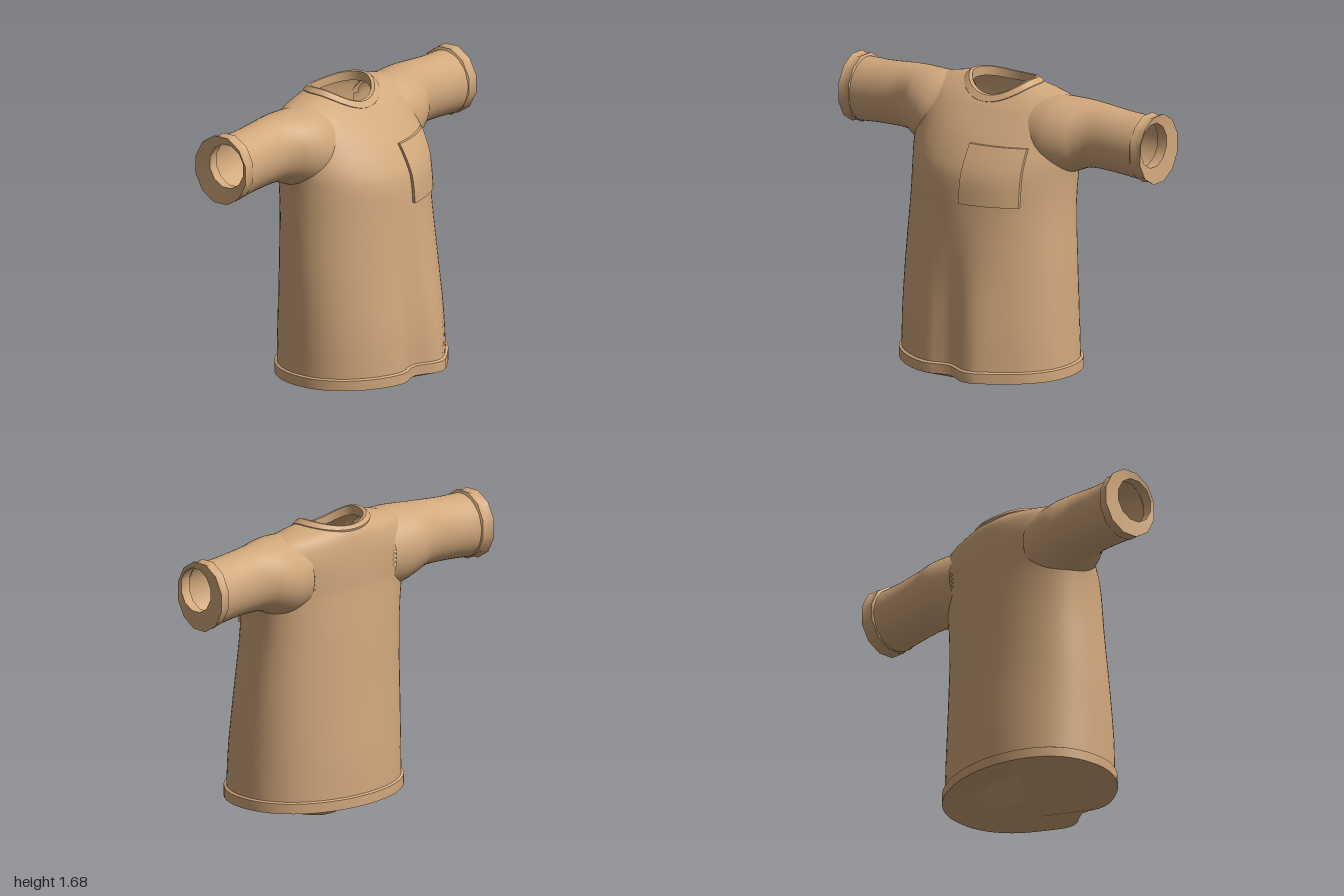
import * as THREE from 'three';
import { toCreasedNormals } from 'three/addons/utils/BufferGeometryUtils.js';

const SIDES = 64;

// Closed rings joined into a skin; columns are curved between rings when steps > 1.
function loft(rings, steps = 1, crease = 0.9, drop = () => false) {
  const n = rings[0].length;
  const rows = (rings.length - 1) * steps;
  const columns = [];
  for (let j = 0; j < n; j++) {
    const points = rings.map((ring) => ring[j]);
    const curve = new THREE.CatmullRomCurve3(points, false, 'catmullrom', 0.5);
    columns.push(steps === 1 ? points : curve.getPoints(rows));
  }
  const positions = [];
  for (let i = 0; i <= rows; i++) {
    for (let j = 0; j < n; j++) positions.push(...columns[j][i].toArray());
  }
  const index = [];
  const add = (...corners) => {
    const centre = new THREE.Vector3();
    corners.forEach(([i, j]) => centre.addScaledVector(columns[j][i], 1 / 3));
    if (!drop(centre)) index.push(...corners.map(([i, j]) => i * n + j));
  };
  for (let i = 0; i < rows; i++) {
    for (let j = 0; j < n; j++) {
      const k = (j + 1) % n;
      add([i, j], [i + 1, j], [i + 1, k]);
      add([i, j], [i + 1, k], [i, k]);
    }
  }
  const geometry = new THREE.BufferGeometry();
  geometry.setAttribute('position', new THREE.Float32BufferAttribute(positions, 3));
  geometry.setIndex(index);
  return toCreasedNormals(geometry, crease);
}

// Body ring: half width, front z, back z, widest z, then heights at side, front and back.
function bodyRing([hx, zf, zb, zc, ys, yf = ys, yb = ys], grow = 0) {
  return Array.from({ length: SIDES }, (_, j) => {
    const a = (j / SIDES) * Math.PI * 2;
    const c = Math.cos(a);
    const s = Math.sin(a);
    const low = THREE.MathUtils.clamp((0.9 - ys) / 0.75, 0, 1);
    const x = (hx + grow) * c + 0.01 * low;
    let z;
    if (s >= 0) {
      // Soft folds hanging down the front
      const dent = 0.06 * Math.exp(-((x / 0.09) ** 2));
      const lobe = 0.03 * Math.exp(-(((x - 0.18) / 0.1) ** 2));
      z = zc + (zf + grow - zc) * s + low * s * (lobe - dent);
    } else {
      z = zc + (zb - grow - zc) * Math.abs(s) ** 0.88;
    }
    return new THREE.Vector3(x, ys + ((s > 0 ? yf : yb) - ys) * s * s, z);
  });
}

// Sleeve section: x, top y, bottom y, front z, back z.
const SLEEVE = [
  [0.3, 1.625, 1.2, 0.09, -0.32],
  [0.4, 1.632, 1.2, 0.095, -0.333],
  [0.5, 1.63, 1.235, 0.065, -0.335],
  [0.57, 1.627, 1.262, 0.025, -0.318],
  [0.65, 1.622, 1.27, 0.0, -0.302],
  [0.8, 1.608, 1.265, -0.004, -0.305],
  [0.94, 1.603, 1.252, -0.004, -0.315],
];

function sleeveRing([x, top, bottom, front, back], side, sides) {
  return Array.from({ length: sides }, (_, j) => {
    const a = ((j + 0.5) / sides) * Math.PI * 2;
    return new THREE.Vector3(
      side * x,
      (top + bottom) / 2 + ((top - bottom) / 2) * Math.sin(a) * side,
      (front + back) / 2 + ((front - back) / 2) * Math.cos(a),
    );
  });
}

// True well inside a sleeve, where the body is left open for the arm.
function insideSleeve(p) {
  const x = Math.abs(p.x);
  const k = SLEEVE.findIndex((s) => s[0] > x);
  if (k < 1) return false;
  const t = (x - SLEEVE[k - 1][0]) / (SLEEVE[k][0] - SLEEVE[k - 1][0]);
  const [, top, bottom, front, back] = SLEEVE[k].map((v, i) => THREE.MathUtils.lerp(SLEEVE[k - 1][i], v, t));
  const dy = (2 * p.y - top - bottom) / (top - bottom);
  const dz = (2 * p.z - front - back) / (front - back);
  return Math.hypot(dy, dz) < 0.93;
}

export function createModel() {
  const group = new THREE.Group();
  group.name = 'shirt';
  const cloth = new THREE.MeshStandardMaterial({ color: 0xd2a87c, side: THREE.DoubleSide });
  cloth.name = 'tan cloth';
  const add = (name, geometry) => {
    const mesh = new THREE.Mesh(geometry, cloth);
    mesh.name = name;
    group.add(mesh);
    return mesh;
  };

  // Body from hem to neckline
  const hemRow = [0.508, 0.4, -0.402, 0, 0.14];
  const body = add('body', loft([
    hemRow,
    [0.503, 0.385, -0.395, 0, 0.4],
    [0.495, 0.35, -0.375, -0.02, 0.7],
    [0.482, 0.32, -0.36, -0.05, 1.0],
    [0.487, 0.302, -0.347, -0.08, 1.2],
    [0.5, 0.265, -0.34, -0.1, 1.3],
    [0.51, 0.205, -0.34, -0.13, 1.4],
    [0.5, 0.15, -0.337, -0.15, 1.51, 1.47, 1.48],
    [0.43, 0.105, -0.33, -0.15, 1.605, 1.52, 1.55],
    [0.33, 0.068, -0.32, -0.14, 1.638, 1.56, 1.6],
    [0.21, 0.04, -0.303, -0.13, 1.66, 1.582, 1.635],
  ].map((row) => bodyRing(row)), 4, 1.0, insideSleeve));

  // Hem band
  const hemAt = (y, grow) => bodyRing([...hemRow.slice(0, 4), y], grow);
  const hemEdge = hemAt(0.13, 0.012);
  add('hem', loft([hemEdge, hemAt(0.185, 0.012), hemAt(0.193, -0.004)], 1, 0.5));

  // Sagging underside, drawn to a low point with a fold at the back
  const underRings = [0, 0.35, 0.65, 1].map((t) => hemEdge.map((p) => {
    const behind = Math.max(0, -p.z / 0.41) ** 2;
    const fold = t === 0.35 ? -0.02 : t === 0.65 ? 0.032 : 0;
    return new THREE.Vector3(0.02 + (p.x - 0.02) * t, 0.13 * t + fold * behind, p.z * t);
  }));
  add('underside', loft(underRings, 1, 0.4));

  // Collar band, rolled over the neckline
  add('collar', loft([
    [0.222, 0.05, -0.31, -0.13, 1.648, 1.56, 1.622],
    [0.222, 0.056, -0.313, -0.13, 1.662, 1.572, 1.634],
    [0.195, 0.03, -0.298, -0.13, 1.684, 1.602, 1.652],
    [0.178, 0.01, -0.285, -0.13, 1.682, 1.604, 1.652],
    [0.18, 0.008, -0.285, -0.13, 1.63, 1.56, 1.605],
  ].map((row) => bodyRing(row)), 1, 0.6));

  for (const [side, label] of [[1, 'left'], [-1, 'right']]) {
    add(`${label}Sleeve`, loft(SLEEVE.map((s) => sleeveRing(s, side, 48)), 4));
    // Thick cuff with a smaller arm opening
    add(`${label}Cuff`, loft([
      [0.925, 1.604, 1.253, -0.004, -0.315],
      [0.932, 1.622, 1.244, 0.004, -0.327],
      [0.965, 1.612, 1.25, 0.0, -0.328],
      [0.998, 1.622, 1.238, 0.004, -0.342],
      [0.992, 1.58, 1.335, -0.018, -0.248],
      [0.93, 1.585, 1.33, -0.014, -0.252],
      [0.93, 1.6, 1.256, -0.006, -0.312],
    ].map((s) => sleeveRing(s, side, 12)), 1, 0.6));
  }

  // Chest pocket, laid over the body surface
  const pocket = new THREE.BoxGeometry(0.31, 0.31, 0.02, 8, 8, 1);
  pocket.translate(0.197, 1.233, 0);
  const position = pocket.attributes.position;
  const ray = new THREE.Raycaster();
  const inward = new THREE.Vector3(0, 0, -1);
  for (let i = 0; i < position.count; i++) {
    ray.set(new THREE.Vector3(position.getX(i), position.getY(i), 1), inward);
    const hit = ray.intersectObject(body)[0];
    position.setZ(i, (hit ? hit.point.z : 0.2) + (position.getZ(i) > 0 ? 0.016 : -0.008));
  }
  add('pocket', toCreasedNormals(pocket, 0.6));

  return group;
}
